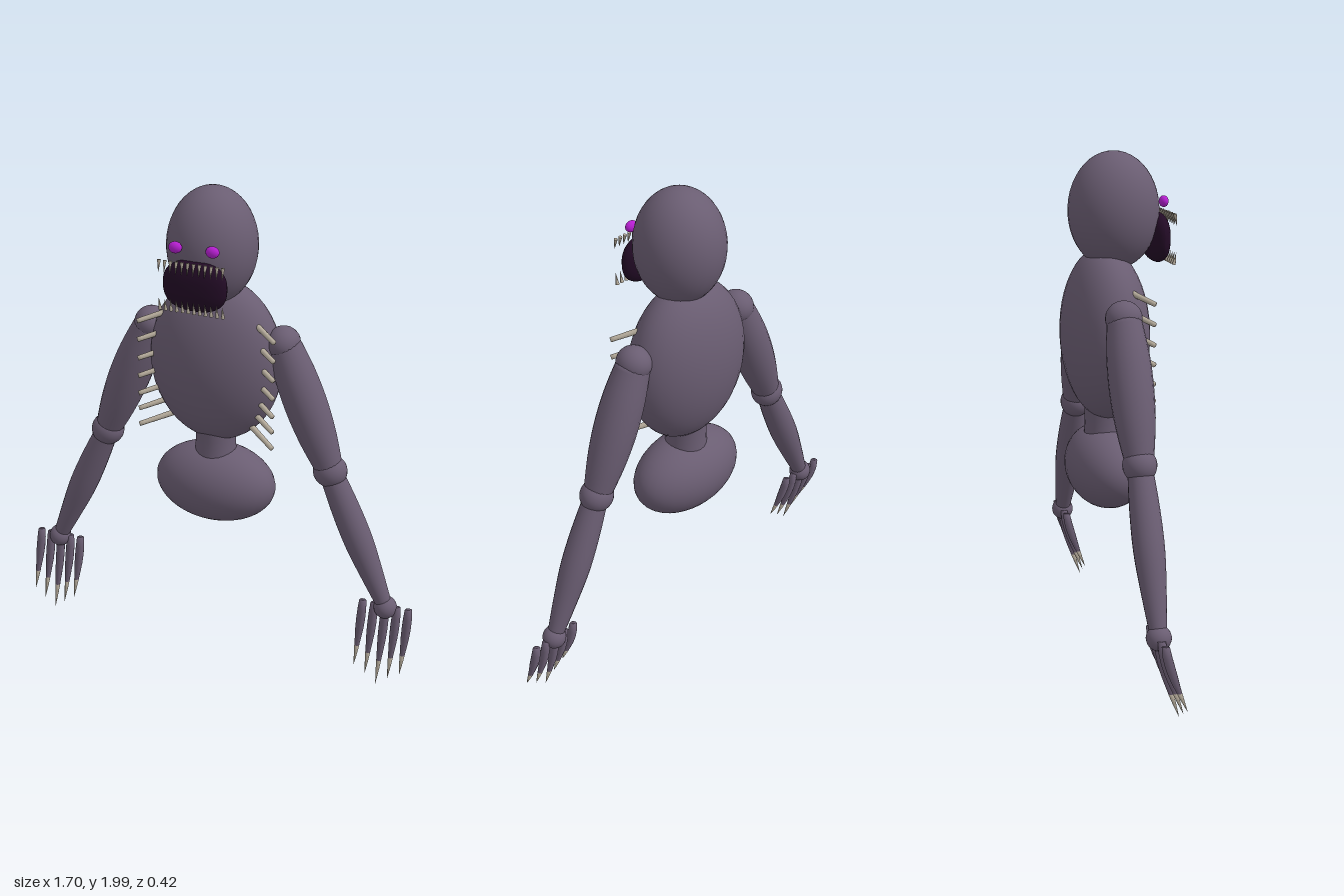
import * as THREE from 'three';

const mat = (name, color) => {
  const m = new THREE.MeshStandardMaterial({ color });
  m.name = name;
  return m;
};

export function createModel() {
  const skin = mat('dusky skin', 0x6a5d72);
  const maw = mat('dark maw', 0x220b25);
  const glow = mat('violet eye', 0xb51fd0);
  const bone = mat('bone', 0xb5ab9b);
  const root = new THREE.Group();
  root.name = 'creature';

  const add = (parent, name, geo, material) => {
    const m = new THREE.Mesh(geo, material);
    m.name = name;
    parent.add(m);
    return m;
  };
  const blob = (parent, name, material, pos, radii, seg = 32) => {
    const m = add(parent, name, new THREE.SphereGeometry(1, seg, Math.ceil(seg * 0.7)), material);
    m.position.set(...pos);
    m.scale.set(...radii);
    return m;
  };
  // Turned shape from a to b; radii are spread evenly along a smooth profile
  const limb = (parent, name, material, a, b, radii, seg = 20) => {
    const from = new THREE.Vector3(...a), dir = new THREE.Vector3(...b).sub(from);
    const len = dir.length(), n = radii.length - 1;
    const curve = new THREE.SplineCurve(radii.map((r, i) => new THREE.Vector2(r, len * i / n)));
    const pts = [new THREE.Vector2(0, 0), ...curve.getPoints(n * 4), new THREE.Vector2(0, len)];
    const m = add(parent, name, new THREE.LatheGeometry(pts, seg), material);
    m.position.copy(from);
    m.quaternion.setFromUnitVectors(new THREE.Vector3(0, 1, 0), dir.normalize());
    return m;
  };

  // Head and body
  blob(root, 'head', skin, [0, 1.775, -0.005], [0.172, 0.225, 0.176]);
  blob(root, 'torso', skin, [0, 1.3, -0.042], [0.27, 0.337, 0.168]);
  limb(root, 'waist', skin, [0, 0.86, -0.04], [0, 1.03, -0.04], [0.088, 0.081, 0.08], 24);
  blob(root, 'pelvis', skin, [0, 0.765, -0.04], [0.252, 0.165, 0.156]);

  // Mouth: an ellipsoid squared off slightly in x and y
  const mouthGeo = new THREE.SphereGeometry(1, 32, 24);
  const p = mouthGeo.attributes.position;
  const square = v => Math.sign(v) * Math.abs(v) ** 0.8;
  for (let i = 0; i < p.count; i++) p.setXY(i, square(p.getX(i)), square(p.getY(i)));
  mouthGeo.computeVertexNormals();
  const mouth = add(root, 'mouth', mouthGeo, maw);
  mouth.position.set(0, 1.67, 0.163);
  mouth.scale.set(0.126, 0.097, 0.044);

  // Two rows of needle teeth
  const toothGeo = new THREE.ConeGeometry(0.0075, 0.048, 8);
  for (let i = 0; i < 12; i++) {
    const x = -0.125 + i * 0.25 / 11;
    const upper = add(root, 'upperTooth', toothGeo, bone);
    upper.position.set(x, 1.745, 0.205);
    upper.rotation.x = Math.PI - 0.2;
    const lower = add(root, 'lowerTooth', toothGeo, bone);
    lower.position.set(x, 1.6, 0.203);
    lower.rotation.x = 0.2;
  }

  // Finger section between fractions t0 and t1, bent forward towards the tip
  const fingerPart = (parent, name, material, x, len, t0, t1, radii) => {
    const n = radii.length - 1;
    const pts = radii.map((r, i) => new THREE.Vector2(r, -len * (t1 + (t0 - t1) * i / n)));
    pts.push(new THREE.Vector2(0, -len * t0));
    const geo = new THREE.LatheGeometry(pts, 12);
    const pos = geo.attributes.position;
    for (let i = 0; i < pos.count; i++) {
      const t = Math.max(0, -pos.getY(i) / len);
      pos.setZ(i, pos.getZ(i) + 0.085 * t ** 1.35);
    }
    add(parent, name, geo, material).position.set(x, 0.34, -0.046);
  };

  for (const s of [1, -1]) {
    const side = s > 0 ? 'left' : 'right';
    blob(root, side + 'Eye', glow, [s * 0.073, 1.812, 0.172], [0.026, 0.022, 0.018], 20);

    // Arm
    const arm = new THREE.Group();
    arm.name = side + 'Arm';
    root.add(arm);
    const shoulder = [s * 0.275, 1.41, -0.042];
    const elbow = [s * 0.481, 0.905, -0.04];
    const wrist = [s * 0.735, 0.335, -0.042];
    blob(arm, 'shoulder', skin, shoulder, [0.066, 0.066, 0.07], 24);
    limb(arm, 'upperArm', skin, shoulder, elbow, [0.064, 0.08, 0.083, 0.073, 0.052]);
    blob(arm, 'elbow', skin, elbow, [0.068, 0.066, 0.064], 24);
    limb(arm, 'forearm', skin, elbow, wrist, [0.046, 0.056, 0.058, 0.046, 0.03]);
    blob(arm, 'wrist', skin, wrist, [0.047, 0.047, 0.047], 20);

    // Fingers with claws
    for (let i = -2; i <= 2; i++) {
      const x = s * 0.735 + i * 0.0475;
      const len = [0.33, 0.292, 0.26][Math.abs(i)];
      fingerPart(arm, 'finger', skin, x, len, 0, 0.74, [0.009, 0.013, 0.017, 0.0185, 0.018, 0.015]);
      fingerPart(arm, 'claw', bone, x, len, 0.7, 1, [0, 0.004, 0.0075, 0.0105]);
    }

    // Rib spikes down the flank
    for (const y of [1.457, 1.38, 1.302, 1.227, 1.152, 1.087, 1.018]) {
      limb(root, side + 'RibSpike', bone, [s * 0.28, y, 0.077], [s * 0.14, y + 0.045, -0.02],
        [0.0095, 0.011, 0.0125], 10);
    }
  }
  return root;
}
